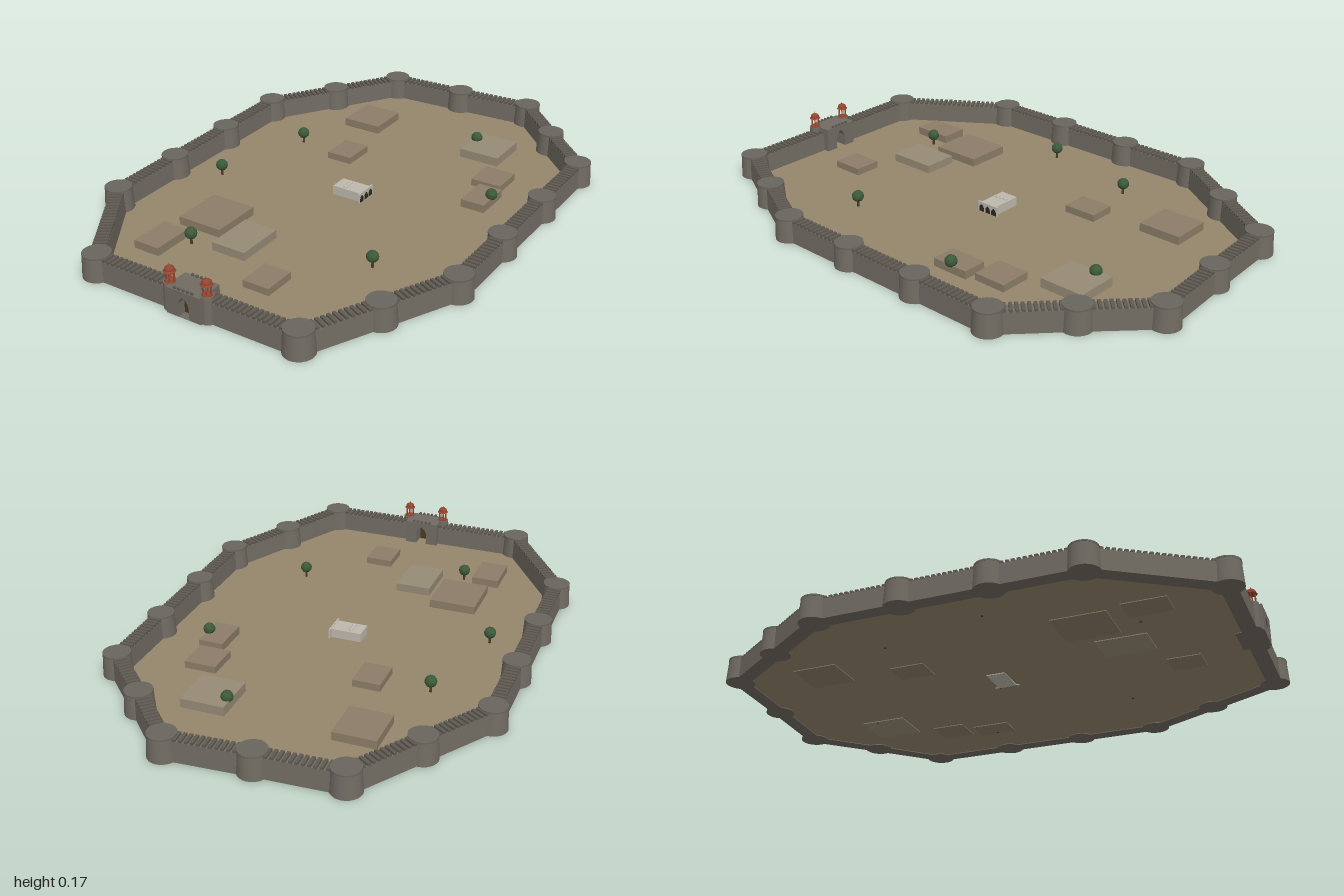
import * as THREE from 'three';
import { mergeGeometries } from 'three/addons/utils/BufferGeometryUtils.js';

const mat = (color, extra = {}) => new THREE.MeshStandardMaterial({ color, ...extra });
const M = {
  ground: mat(0x94866b, { side: THREE.DoubleSide }),
  wall: mat(0x716b62),
  cap: mat(0x68645e),
  merlon: mat(0x5f5a52),
  block: mat(0x8b7d67),
  paleBlock: mat(0x968a75),
  marble: mat(0xbdb8ad),
  dark: mat(0x2c2723),
  wood: mat(0x4a3826),
  red: mat(0x94452f),
  trunk: mat(0x4d3a28),
  leaf: mat(0x3b5938, { flatShading: true }),
};

function add(parent, name, geo, material, x = 0, y = 0, z = 0) {
  const m = new THREE.Mesh(geo, material);
  m.name = name;
  m.position.set(x, y, z);
  parent.add(m);
  return m;
}

function group(parent, name, x = 0, y = 0, z = 0) {
  const g = new THREE.Group();
  g.name = name;
  g.position.set(x, y, z);
  parent.add(g);
  return g;
}

// Box standing on y = 0
const standingBox = (w, h, d) => new THREE.BoxGeometry(w, h, d).translate(0, h / 2, 0);

// Pointed arch outline, standing on y = 0
function archPath(path, w, spring, top) {
  path.moveTo(-w, 0);
  path.lineTo(-w, spring);
  path.quadraticCurveTo(-w, (spring + top) / 2, 0, top);
  path.quadraticCurveTo(w, (spring + top) / 2, w, spring);
  path.lineTo(w, 0);
  path.closePath();
  return path;
}

// Tower positions around the circuit, as x and z
const TOWERS = [
  [-0.345, -0.915], [-0.036, -0.93], [0.273, -0.95], [0.47, -0.75],
  [0.67, -0.553], [0.67, -0.23], [0.67, 0.09], [0.67, 0.407],
  [0.54, 0.675], [0.41, 0.94], [-0.41, 0.94], [-0.673, 0.545],
  [-0.673, 0.225], [-0.673, -0.095], [-0.673, -0.415], [-0.51, -0.664],
];

// Battered wall with a row of merlons between two points
function wall(parent, [x1, z1], [x2, z2]) {
  const dx = x2 - x1, dz = z2 - z1, len = Math.hypot(dx, dz), h = 0.077;
  const g = group(parent, 'wallSection', x1, 0, z1);
  g.rotation.y = Math.atan2(dx, dz);
  const profile = new THREE.Shape([[-0.028, 0], [0.028, 0], [0.025, h], [-0.025, h]]
    .map(([x, y]) => new THREE.Vector2(x, y)));
  add(g, 'curtainWall', new THREE.ExtrudeGeometry(profile, { depth: len, bevelEnabled: false }), M.wall);
  const n = Math.round(len / 0.0205), boxes = [];
  for (let i = 0; i < n; i++) {
    boxes.push(standingBox(0.05, 0.009, 0.012).translate(0, h, (i + 0.5) * len / n));
  }
  add(g, 'merlons', mergeGeometries(boxes), M.merlon);
}

// Round tower with a thin cap
function tower(parent, x, z) {
  const g = group(parent, 'tower', x, 0, z);
  add(g, 'towerBody', new THREE.CylinderGeometry(0.05, 0.055, 0.085, 24), M.wall, 0, 0.0425, 0);
  add(g, 'towerCap', new THREE.CylinderGeometry(0.051, 0.051, 0.006, 24), M.cap, 0, 0.087, 0);
}

// Domed pavilion on slim columns
function kiosk(parent, x, y, z) {
  const g = group(parent, 'kiosk', x, y, z);
  add(g, 'kioskFloor', new THREE.CylinderGeometry(0.019, 0.019, 0.003, 16), M.red, 0, 0.0015, 0);
  for (let i = 0; i < 6; i++) {
    const a = (i + 0.5) * Math.PI / 3;
    add(g, 'kioskColumn', new THREE.CylinderGeometry(0.0018, 0.0018, 0.034, 8), M.red,
      0.015 * Math.sin(a), 0.02, 0.015 * Math.cos(a));
  }
  add(g, 'kioskEave', new THREE.CylinderGeometry(0.017, 0.022, 0.005, 16), M.red, 0, 0.039, 0);
  const dome = [[0.016, 0], [0.017, 0.005], [0.014, 0.011], [0.008, 0.015], [0.0015, 0.018], [0.001, 0.023], [0, 0.024]];
  add(g, 'kioskDome', new THREE.LatheGeometry(dome.map(p => new THREE.Vector2(...p)), 16), M.red, 0, 0.041, 0);
}

function gatehouse(parent) {
  const g = group(parent, 'gatehouse', 0, 0, 0.94);
  // Block with an arched passage and doors set in it
  const face = new THREE.Shape([[-0.07, 0], [0.07, 0], [0.07, 0.098], [-0.07, 0.098]]
    .map(p => new THREE.Vector2(...p)));
  face.holes.push(archPath(new THREE.Path(), 0.022, 0.045, 0.078));
  add(g, 'gateBlock', new THREE.ExtrudeGeometry(face, { depth: 0.1, bevelEnabled: false, curveSegments: 8 }),
    M.wall, 0, 0, -0.05);
  add(g, 'gateDoors', new THREE.ExtrudeGeometry(archPath(new THREE.Shape(), 0.022, 0.045, 0.078),
    { depth: 0.008, bevelEnabled: false }), M.wood, 0, 0, 0.01);
  // Rounded merlons front and back
  for (const z of [-0.046, 0.044]) {
    for (let i = -2; i <= 2; i++) {
      add(g, 'gateMerlon', new THREE.CylinderGeometry(0.0055, 0.0055, 0.006, 12).rotateX(Math.PI / 2),
        M.merlon, i * 0.0175, 0.102, z);
    }
  }
  // Flanking turrets carrying the kiosks
  for (const s of [-1, 1]) {
    add(g, 'gateTurret', new THREE.CylinderGeometry(0.024, 0.026, 0.1, 20), M.wall, s * 0.075, 0.05, 0.018);
    kiosk(g, s * 0.075, 0.1, 0.018);
  }
}

// Domed hall whose arcade faces +x
function hall(parent) {
  const g = group(parent, 'domedHall');
  add(g, 'hallBody', standingBox(0.12, 0.038, 0.072), M.marble, -0.003, 0, 0);
  add(g, 'hallFront', standingBox(0.006, 0.04, 0.096), M.marble, 0.058, 0, 0);
  for (const z of [-0.03, 0, 0.03]) {
    const arch = new THREE.ExtrudeGeometry(archPath(new THREE.Shape(), 0.011, 0.016, 0.031),
      { depth: 0.002, bevelEnabled: false }).rotateY(Math.PI / 2);
    add(g, 'hallArch', arch, M.dark, 0.06, 0, z);
  }
  for (const z of [-0.018, 0, 0.018]) {
    add(g, 'hallDome', new THREE.SphereGeometry(0.009, 16, 8, 0, Math.PI * 2, 0, Math.PI / 2),
      M.marble, -0.018, 0.038, z);
  }
}

function tree(parent, x, z) {
  const g = group(parent, 'tree', x, 0, z);
  add(g, 'trunk', new THREE.CylinderGeometry(0.004, 0.005, 0.034, 8), M.trunk, 0, 0.017, 0);
  add(g, 'foliage', new THREE.IcosahedronGeometry(0.023, 1), M.leaf, 0, 0.046, 0);
}

export function createModel() {
  const root = new THREE.Group();
  root.name = 'walledTown';

  // Ground inside the circuit
  const outline = new THREE.Shape(TOWERS.map(([x, z]) => new THREE.Vector2(x, -z)));
  add(root, 'ground', new THREE.ShapeGeometry(outline).rotateX(-Math.PI / 2), M.ground, 0, 0.003, 0);

  // Walls and towers, with the front wall split by the gate
  TOWERS.forEach((p, i) => {
    const q = TOWERS[(i + 1) % TOWERS.length];
    tower(root, ...p);
    if (i === 9) {
      wall(root, p, [0.065, 0.94]);
      wall(root, [-0.065, 0.94], q);
    } else {
      wall(root, p, q);
    }
  });
  gatehouse(root);
  hall(root);

  // Plain building blocks: x, z, width, depth, height, pale
  const blocks = [
    [-0.28, -0.595, 0.16, 0.17, 0.035, 0], [0.273, -0.592, 0.165, 0.175, 0.038, 1],
    [0.404, -0.373, 0.122, 0.127, 0.03, 0], [0.438, -0.209, 0.095, 0.148, 0.034, 0],
    [-0.197, -0.275, 0.105, 0.132, 0.03, 0], [-0.309, 0.43, 0.182, 0.2, 0.035, 0],
    [-0.118, 0.515, 0.138, 0.19, 0.035, 1], [-0.372, 0.664, 0.107, 0.158, 0.034, 0],
    [0.099, 0.68, 0.106, 0.126, 0.03, 0],
  ];
  for (const [x, z, w, d, h, pale] of blocks) {
    add(root, 'building', standingBox(w, h, d), pale ? M.paleBlock : M.block, x, 0, z);
  }

  const trees = [[0.205, -0.62], [-0.414, -0.277], [0.478, -0.21], [-0.515, 0.135], [0.342, 0.407], [-0.277, 0.614]];
  for (const [x, z] of trees) tree(root, x, z);
  return root;
}
